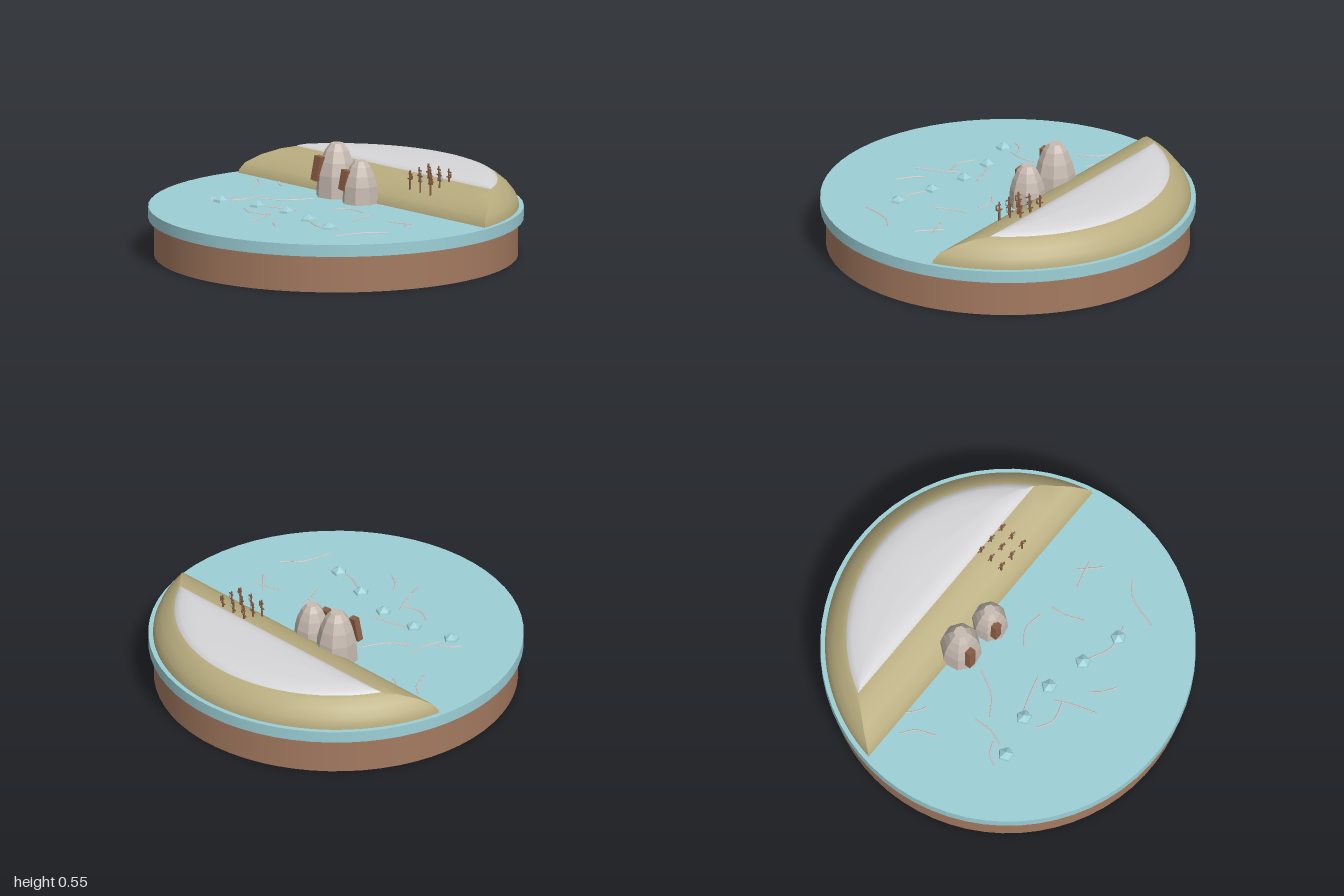
import * as THREE from 'three';
import { toCreasedNormals } from 'three/addons/utils/BufferGeometryUtils.js';

const mat = (name, color, extra = {}) => {
  const m = new THREE.MeshStandardMaterial({ color, ...extra });
  m.name = name;
  return m;
};

const GROUND = 0.265;                 // height of the ice surface
const TILT = 0.347;                   // direction of the hill's straight edge
const ARC = 48, CHORD = 12;

// Outline of a circle segment: radius r, cut by a chord at distance d from the centre
function segmentOutline(r, d, y) {
  const pts = [], a0 = Math.asin(d / r), h = Math.sqrt(r * r - d * d);
  const put = (u, v) => pts.push(new THREE.Vector3(
    u * Math.cos(TILT) + v * Math.sin(TILT), y, u * Math.sin(TILT) - v * Math.cos(TILT)));
  for (let i = 0; i < ARC; i++) {
    const a = a0 + (Math.PI - 2 * a0) * i / ARC;
    put(r * Math.cos(a), r * Math.sin(a));
  }
  for (let i = 0; i < CHORD; i++) put(-h + 2 * h * i / CHORD, d);
  return pts;
}

// Stack of outlines [r, d, y] from bottom to top, closed by a flat cap
function segmentLoft(layers) {
  const rings = layers.map(l => segmentOutline(...l));
  const n = ARC + CHORD, pos = [], index = [];
  rings.forEach(ring => ring.forEach(p => pos.push(p.x, p.y, p.z)));
  for (let k = 0; k < rings.length - 1; k++) {
    for (let i = 0; i < n; i++) {
      const a = k * n + i, b = k * n + (i + 1) % n;
      index.push(a, b, b + n, a, b + n, a + n);
    }
  }
  const top = rings[rings.length - 1], base = (rings.length - 1) * n;
  const c = top.reduce((s, p) => s.add(p), new THREE.Vector3()).divideScalar(n);
  pos.push(c.x, c.y, c.z);
  for (let i = 0; i < n; i++) index.push(base + i, base + (i + 1) % n, rings.length * n);
  const g = new THREE.BufferGeometry();
  g.setAttribute('position', new THREE.Float32BufferAttribute(pos, 3));
  g.setIndex(index);
  return toCreasedNormals(g, 0.7);
}

export function createModel() {
  const model = new THREE.Group();
  const earth = mat('earth brown', 0xa47a60);
  const ice = mat('ice blue', 0x9ccfd6);
  const grass = mat('dry grass', 0xb9ad7f);
  const snow = mat('snow', 0xd6d6d8);
  const rock = mat('pale rock', 0xc6bab0, { flatShading: true });
  const wood = mat('wood', 0x8c5f45);
  const iceFacet = mat('ice mound blue', 0x9ccfd6, { flatShading: true });
  const crackMat = mat('crack grey', 0xcfc4c2);

  const add = (name, geo, material, x = 0, y = 0, z = 0, parent = model) => {
    const m = new THREE.Mesh(geo, material);
    m.name = name;
    m.position.set(x, y, z);
    parent.add(m);
    return m;
  };
  const lathe = (points, sides) =>
    new THREE.LatheGeometry(points.map(p => new THREE.Vector2(...p)), sides);

  // Round base and ice sheet
  add('base', new THREE.CylinderGeometry(0.97, 0.97, 0.2, 64), earth, 0, 0.1, 0);
  add('iceSheet', new THREE.CylinderGeometry(1, 1, 0.065, 64), ice, 0, 0.2325, 0);

  // Hill with snow plateau
  add('hill', segmentLoft([[0.975, 0.185, GROUND - 0.005], [0.972, 0.192, 0.285], [0.958, 0.215, 0.32],
    [0.925, 0.28, 0.362], [0.885, 0.36, 0.395], [0.862, 0.422, 0.408]]), grass);
  add('snowPlateau', segmentLoft([[0.866, 0.416, 0.4], [0.858, 0.425, 0.413], [0.83, 0.445, 0.424],
    [0.795, 0.475, 0.432], [0.757, 0.51, 0.436]]), snow);

  // Two faceted rock huts, each with a leaning door board
  const huts = [
    { x: -0.11, z: -0.23, r: 0.115, h: 0.287, door: [-0.185, 0.42, -0.15], dh: 0.135 },
    { x: 0.08, z: -0.13, r: 0.1, h: 0.228, door: [0.016, 0.39, -0.073], dh: 0.11 },
  ];
  for (const { x, z, r, h, door, dh } of huts) {
    const hut = add('hut', lathe([[r, 0], [r * 0.93, h * 0.42], [r * 0.78, h * 0.66],
      [r * 0.56, h * 0.87], [r * 0.31, h], [0, h]], 8), rock, x, GROUND - 0.002, z);
    hut.rotation.y = 0.2;
    const board = add('doorBoard', new THREE.BoxGeometry(0.045, dh, 0.035), wood, ...door);
    board.rotation.set(-0.1, -0.35, -0.17);
  }

  // Drying poles in three rows on the slope
  const post = new THREE.CylinderGeometry(0.005, 0.006, 0.115, 6);
  const bar = new THREE.BoxGeometry(0.034, 0.006, 0.006);
  const fish = new THREE.SphereGeometry(0.007, 6, 5).scale(0.8, 2, 0.8);
  for (let row = 0; row < 3; row++) {
    for (let i = 0; i < 3; i++) {
      const pole = new THREE.Group();
      pole.name = 'dryingPole';
      pole.position.set(0.405 - row * 0.022 + i * 0.077, 0.418 - row * 0.008, -0.29 + row * 0.065 + i * 0.032);
      pole.rotation.y = -0.6;
      add('post', post, wood, 0, 0, 0, pole);
      add('crossbar', bar, wood, 0.006, 0.04, 0, pole);
      add('hangingFish', fish, (row + i) % 2 ? ice : wood, 0.02, 0.024, 0, pole);
      add('lowerPeg', bar, wood, -0.004, 0.01, 0, pole);
      model.add(pole);
    }
  }

  // Pentagonal ice mounds
  const mound = lathe([[0.045, 0], [0.04, 0.014], [0, 0.037]], 5);
  [[-0.59, 0.188], [-0.36, 0.212], [-0.15, 0.282], [0.04, 0.408], [0.23, 0.542]].forEach(([x, z], i) => {
    add('iceMound', mound, iceFacet, x, GROUND - 0.002, z).rotation.y = 0.3 + i * 0.1;
  });

  // Cracks: x, z of start, middle and end
  const cracks = [
    [-0.66, -0.385, -0.615, -0.31, -0.61, -0.2], [-0.54, -0.4, -0.51, -0.34, -0.47, -0.295],
    [-0.455, -0.03, -0.49, 0.07, -0.55, 0.14], [-0.67, 0.15, -0.62, 0.11, -0.54, 0.1],
    [-0.42, 0.04, -0.3, 0.01, -0.18, -0.09], [0.02, 0.085, 0.12, 0.06, 0.22, 0.11],
    [0.28, 0.15, 0.26, 0.22, 0.26, 0.34], [0.43, 0.245, 0.5, 0.25, 0.59, 0.26],
    [0.52, 0.205, 0.545, 0.26, 0.585, 0.35], [0.56, 0.505, 0.46, 0.55, 0.35, 0.69],
    [-0.11, 0.5, -0.09, 0.56, -0.04, 0.63], [-0.22, 0.33, -0.21, 0.42, -0.215, 0.575],
    [-0.395, 0.295, -0.33, 0.365, -0.21, 0.38], [-0.36, 0.2, -0.25, 0.2, -0.12, 0.21],
    [0.06, 0.43, 0.17, 0.53, 0.3, 0.55],
  ];
  for (const c of cracks) {
    const pts = [0, 2, 4].map(i => new THREE.Vector3(c[i], GROUND, c[i + 1]));
    add('crack', new THREE.TubeGeometry(new THREE.CatmullRomCurve3(pts), 10, 0.005, 6), crackMat);
  }
  return model;
}
